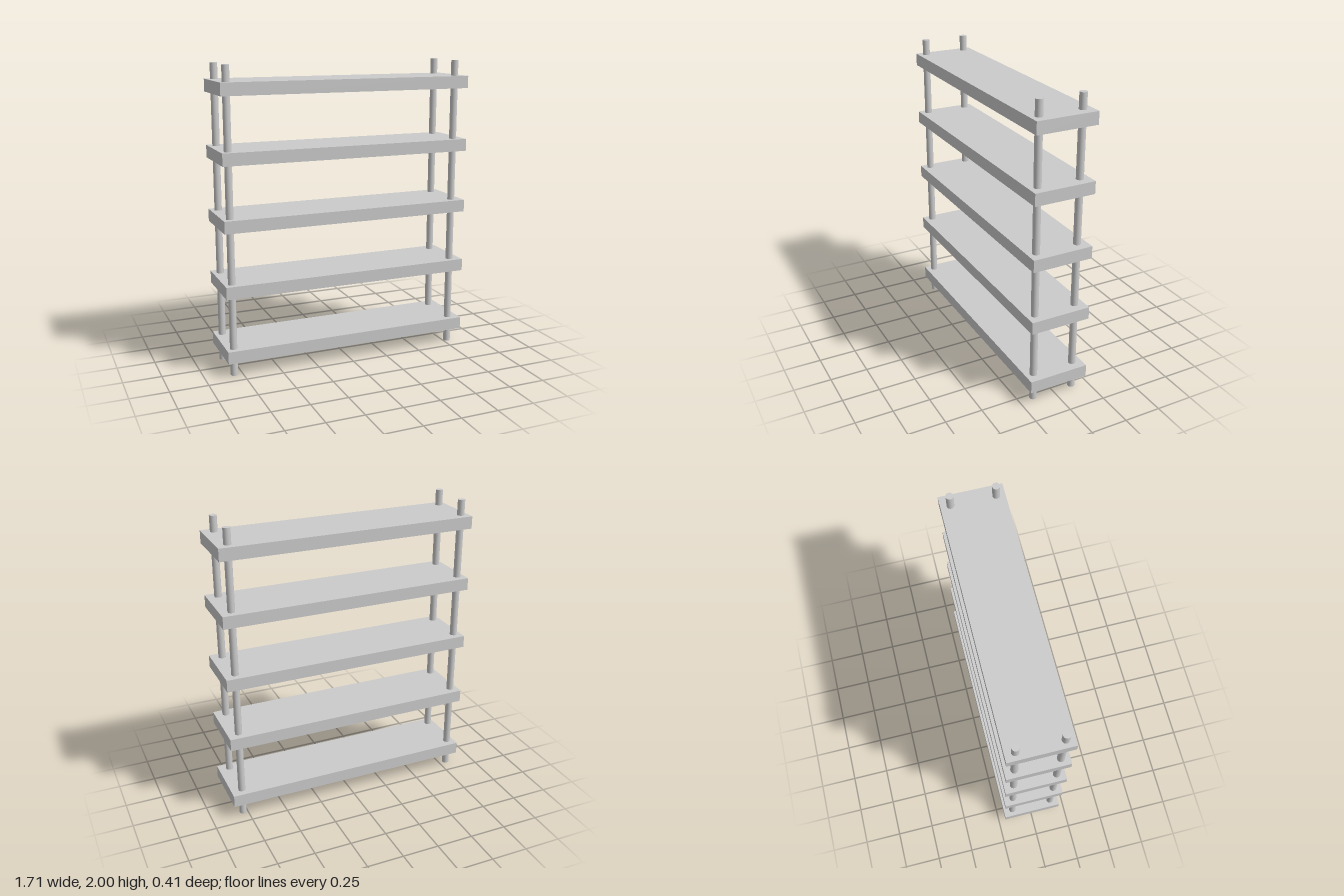
import * as THREE from 'three';

export function createModel() {
  const group = new THREE.Group();
  group.name = 'shelfUnit';
  const material = new THREE.MeshStandardMaterial({ color: 0xcccccc });

  // Five flat boards
  const boardGeometry = new THREE.BoxGeometry(1.71, 0.082, 0.407);
  [0.139, 0.574, 1.002, 1.428, 1.855].forEach((y, i) => {
    const board = new THREE.Mesh(boardGeometry, material);
    board.name = `shelf${i + 1}`;
    board.position.y = y;
    group.add(board);
  });

  // Four round posts running through the boards, set slightly off centre
  const postGeometry = new THREE.CylinderGeometry(0.024, 0.024, 2, 32);
  for (const [side, x] of [['Right', -0.805], ['Left', 0.781]]) {
    for (const [end, z] of [['front', 0.147], ['back', -0.14]]) {
      const post = new THREE.Mesh(postGeometry, material);
      post.name = `${end}${side}Post`;
      post.position.set(x, 1, z);
      group.add(post);
    }
  }
  return group;
}
